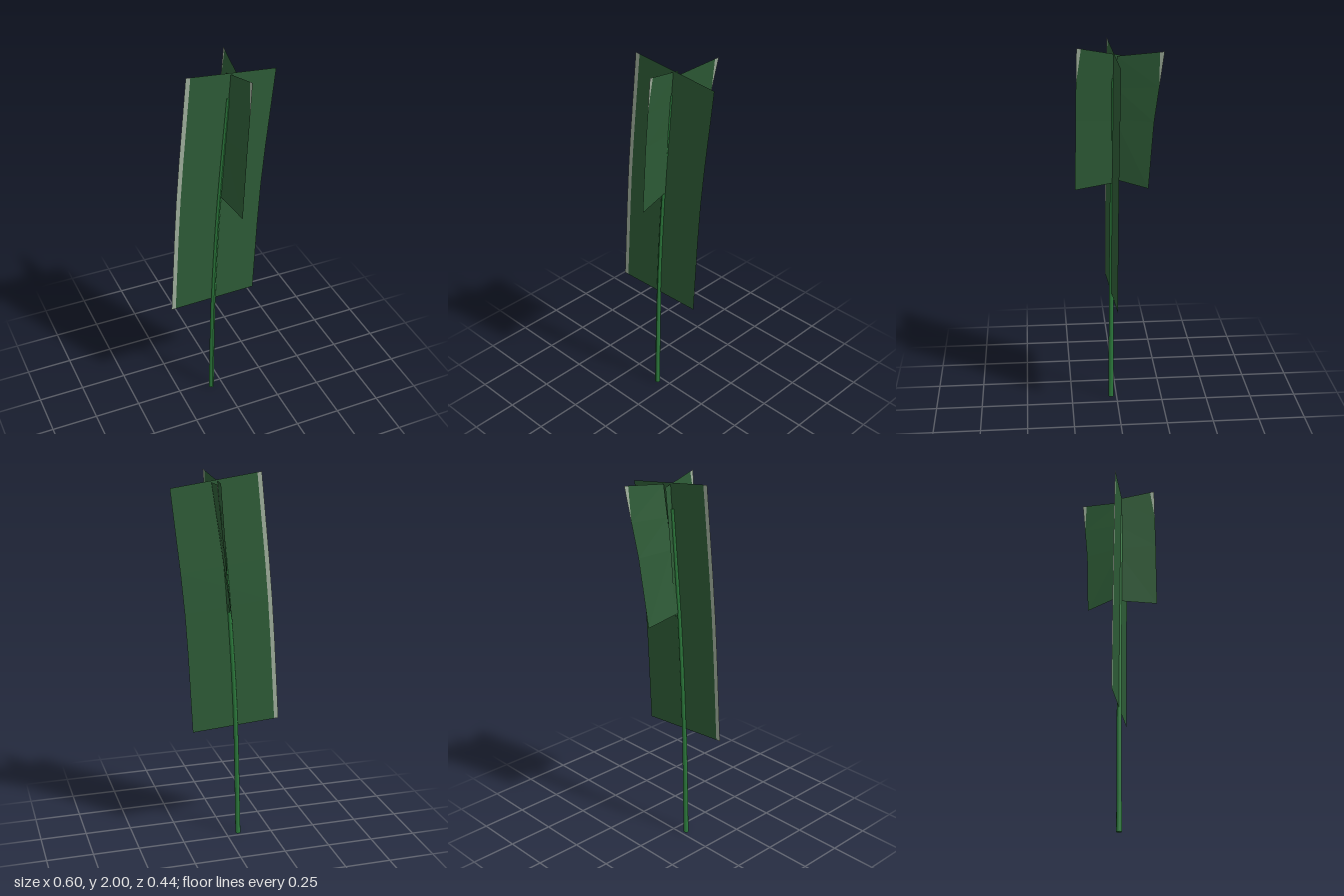
import * as THREE from 'three';

const leafGreen = new THREE.MeshStandardMaterial({ color: 0x2d5b36, side: THREE.DoubleSide, flatShading: true });
leafGreen.name = 'leaf green';
const paleEdge = new THREE.MeshStandardMaterial({ color: 0x9dac9a, side: THREE.DoubleSide, flatShading: true });
paleEdge.name = 'pale edge';
const stemGreen = new THREE.MeshStandardMaterial({ color: 0x2c7a3c });
stemGreen.name = 'stem green';

// Strip between two fractions of the blade width; each row is {t, from, to}
function strip(name, material, outer, inner, rows) {
  const position = [], index = [];
  const at = (edge, t) => {
    const i = Math.min(Math.floor(t * (edge.length - 1)), edge.length - 2);
    return new THREE.Vector3(...edge[i]).lerp(new THREE.Vector3(...edge[i + 1]), t * (edge.length - 1) - i);
  };
  rows.forEach(({ t, from, to }, i) => {
    const a = at(outer, t), b = at(inner, t);
    position.push(...a.clone().lerp(b, from).toArray(), ...a.clone().lerp(b, to).toArray());
    if (i) index.push(2 * i - 2, 2 * i - 1, 2 * i + 1, 2 * i - 2, 2 * i + 1, 2 * i);
  });
  const geometry = new THREE.BufferGeometry();
  geometry.setAttribute('position', new THREE.Float32BufferAttribute(position, 3));
  geometry.setIndex(index);
  geometry.computeVertexNormals();
  const mesh = new THREE.Mesh(geometry, material);
  mesh.name = name;
  return mesh;
}

// Leaf blade, given its outer and inner edges from bottom to top, with a pale outer margin
function blade(name, outer, inner, steps, margin) {
  const group = new THREE.Group();
  group.name = name;
  const edgeRows = steps.filter((t, i) => margin(t) > 0 || margin(steps[i + 1] ?? t) > 0);
  group.add(
    strip(name + 'Face', leafGreen, outer, inner, steps.map(t => ({ t, from: margin(t), to: 1 }))),
    strip(name + 'Margin', paleEdge, outer, inner, edgeRows.map(t => ({ t, from: 0, to: margin(t) })))
  );
  return group;
}

// Sample a smooth bowed edge of the main leaf; all of it lies in one slightly turned plane
const mainEdge = points => new THREE.CatmullRomCurve3(
  points.map(([x, y]) => new THREE.Vector3(x, y, 0.026 - 0.07 * x))
).getPoints(6).map(p => p.toArray());

// Tapered round stem swept along its centre line
function makeStem() {
  const path = new THREE.CatmullRomCurve3([
    [-0.067, 0, 0.031], [-0.052, 0.64, 0.029], [-0.022, 1.2, 0.027], [0.033, 1.84, 0.023]
  ].map(p => new THREE.Vector3(...p)));
  const geometry = new THREE.CylinderGeometry(0.009, 0.014, 1, 10, 10);
  const p = geometry.attributes.position;
  for (let i = 0; i < p.count; i++) {
    const c = path.getPoint(THREE.MathUtils.clamp(p.getY(i) + 0.5, 0, 1));
    p.setXYZ(i, c.x + p.getX(i), c.y, c.z + p.getZ(i));
  }
  geometry.computeVertexNormals();
  const mesh = new THREE.Mesh(geometry, stemGreen);
  mesh.name = 'stem';
  return mesh;
}

export function createModel() {
  const model = new THREE.Group();
  model.name = 'leafyStalk';
  model.add(makeStem());

  // Wide main leaf across the stem
  const sixths = Array.from({ length: 7 }, (_, i) => i / 6);
  model.add(blade('mainLeaf',
    mainEdge([[-0.3, 0.655], [-0.256, 1.33], [-0.19, 2.0]]),
    mainEdge([[0.19, 0.635], [0.226, 1.29], [0.295, 1.94]]),
    sixths, () => 0.05));

  // Two narrower side leaves, folded at mid height; the margin tapers away below the tip
  const steps = [0, 0.5, 0.75, 1];
  const tipMargin = t => Math.max(0, (t - 0.75) / 0.25) * 0.1;
  model.add(blade('frontLeaf',
    [[0.028, 1.26, 0.219], [0.049, 1.63, 0.214], [0.075, 2.0, 0.205]],
    [[-0.009, 1.285, 0.0], [0.013, 1.62, -0.008], [0.04, 1.955, -0.018]],
    steps, tipMargin));
  model.add(blade('backLeaf',
    [[0.018, 1.255, -0.159], [0.065, 1.62, -0.179], [0.115, 1.985, -0.221]],
    [[-0.016, 1.3, 0.018], [0.032, 1.63, 0.014], [0.082, 1.96, 0.009]],
    steps, tipMargin));
  return model;
}
